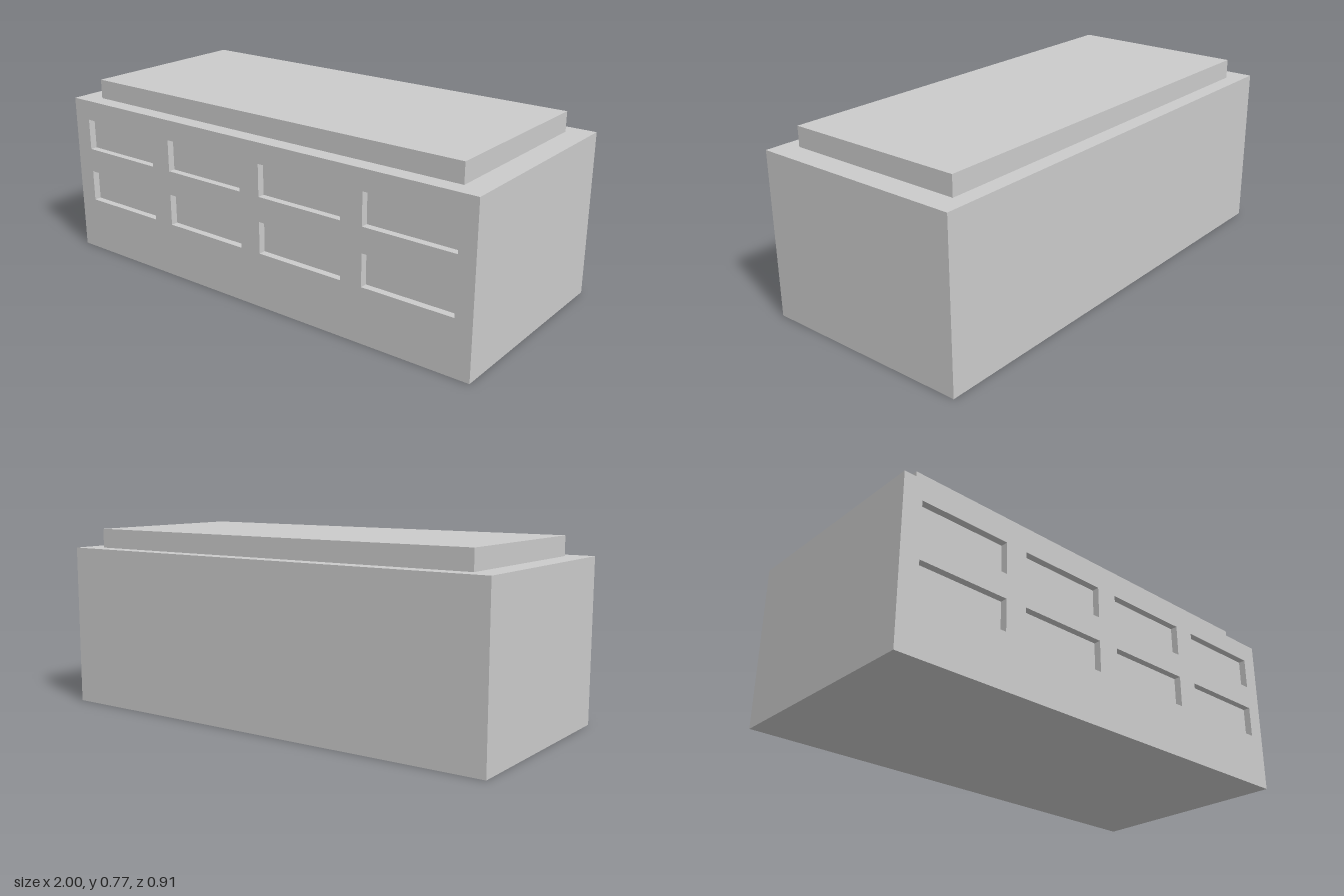
import * as THREE from 'three';

const WIDTH = 2, HEIGHT = 0.684, DEPTH = 0.906;
const RECESS = 0.03;
const ROOF = { width: 1.804, height: 0.082, depth: 0.77 };
const WINDOW = { width: 0.39, height: 0.133, left: -0.919, pitch: 0.486, sills: [0.23, 0.466] };

function rectangle(path, x, y, w, h) {
  path.moveTo(x, y);
  path.lineTo(x + w, y);
  path.lineTo(x + w, y + h);
  path.lineTo(x, y + h);
  path.closePath();
  return path;
}

export function createModel() {
  const model = new THREE.Group();
  model.name = 'building';
  const material = new THREE.MeshStandardMaterial({ color: 0xcccccc, flatShading: true });

  const add = (name, geometry, x, y, z) => {
    const mesh = new THREE.Mesh(geometry, material);
    mesh.name = name;
    mesh.position.set(x, y, z);
    model.add(mesh);
  };

  // Main block; its front face is the back of the window recesses
  add('mainBlock', new THREE.BoxGeometry(WIDTH, HEIGHT, DEPTH - RECESS), 0, HEIGHT / 2, -RECESS / 2);

  // Front wall with two rows of four window openings
  const wall = rectangle(new THREE.Shape(), -WIDTH / 2, 0, WIDTH, HEIGHT);
  for (const sill of WINDOW.sills) {
    for (let i = 0; i < 4; i++) {
      const x = WINDOW.left + i * WINDOW.pitch;
      wall.holes.push(rectangle(new THREE.Path(), x, sill, WINDOW.width, WINDOW.height));
    }
  }
  const wallGeometry = new THREE.ExtrudeGeometry(wall, { depth: RECESS, bevelEnabled: false });
  add('frontWall', wallGeometry, 0, 0, DEPTH / 2 - RECESS);

  // Raised roof slab, set in from the edges
  add('roofSlab', new THREE.BoxGeometry(ROOF.width, ROOF.height, ROOF.depth), 0, HEIGHT + ROOF.height / 2, 0);

  return model;
}
